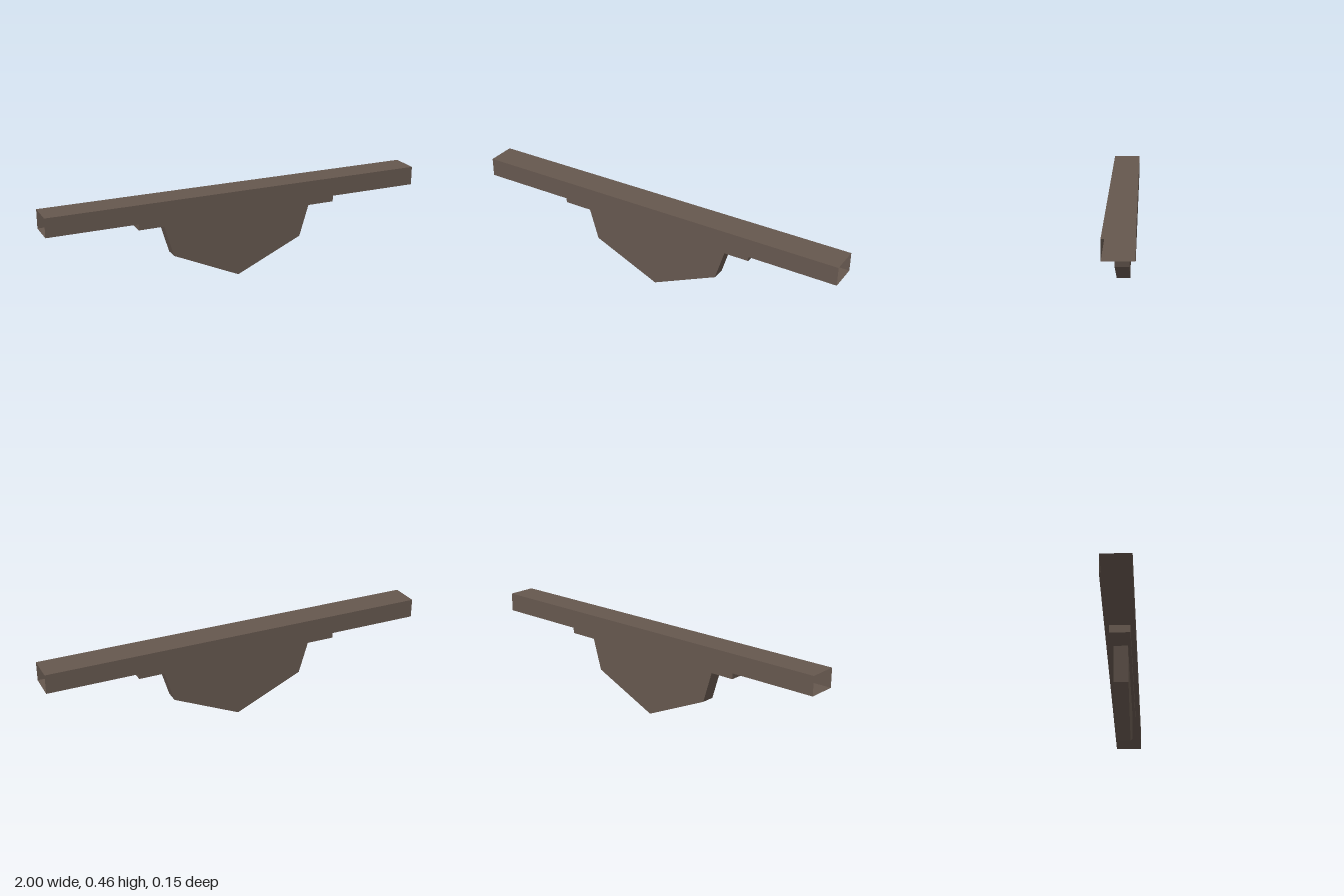
import * as THREE from 'three';

export function createModel() {
  const group = new THREE.Group();
  const wood = new THREE.MeshStandardMaterial({ color: 0x65574e, side: THREE.DoubleSide });
  wood.name = 'dark brown wood';

  const add = (name, geometry, y = 0) => {
    const mesh = new THREE.Mesh(geometry, wood);
    mesh.name = name;
    mesh.position.y = y;
    group.add(mesh);
  };

  // Long hollow beam: a box without its two end faces (the first 12 indices)
  const beam = new THREE.BoxGeometry(2, 0.097, 0.146);
  beam.setIndex(Array.from(beam.index.array).slice(12));
  beam.clearGroups();
  add('beam', beam, 0.414);

  // Mounting plate, its upper half inside the beam
  add('mountingPlate', new THREE.BoxGeometry(1.07, 0.086, 0.1), 0.369);

  // Pointed bracket hanging below the plate
  const outline = new THREE.Shape([
    [0, 0], [0.35, 0.158], [0.402, 0.33], [-0.402, 0.33], [-0.35, 0.158],
  ].map(([x, y]) => new THREE.Vector2(x, y)));
  const bracket = new THREE.ExtrudeGeometry(outline, { depth: 0.071, bevelEnabled: false });
  bracket.translate(0, 0, -0.0355);
  add('bracket', bracket);

  return group;
}
